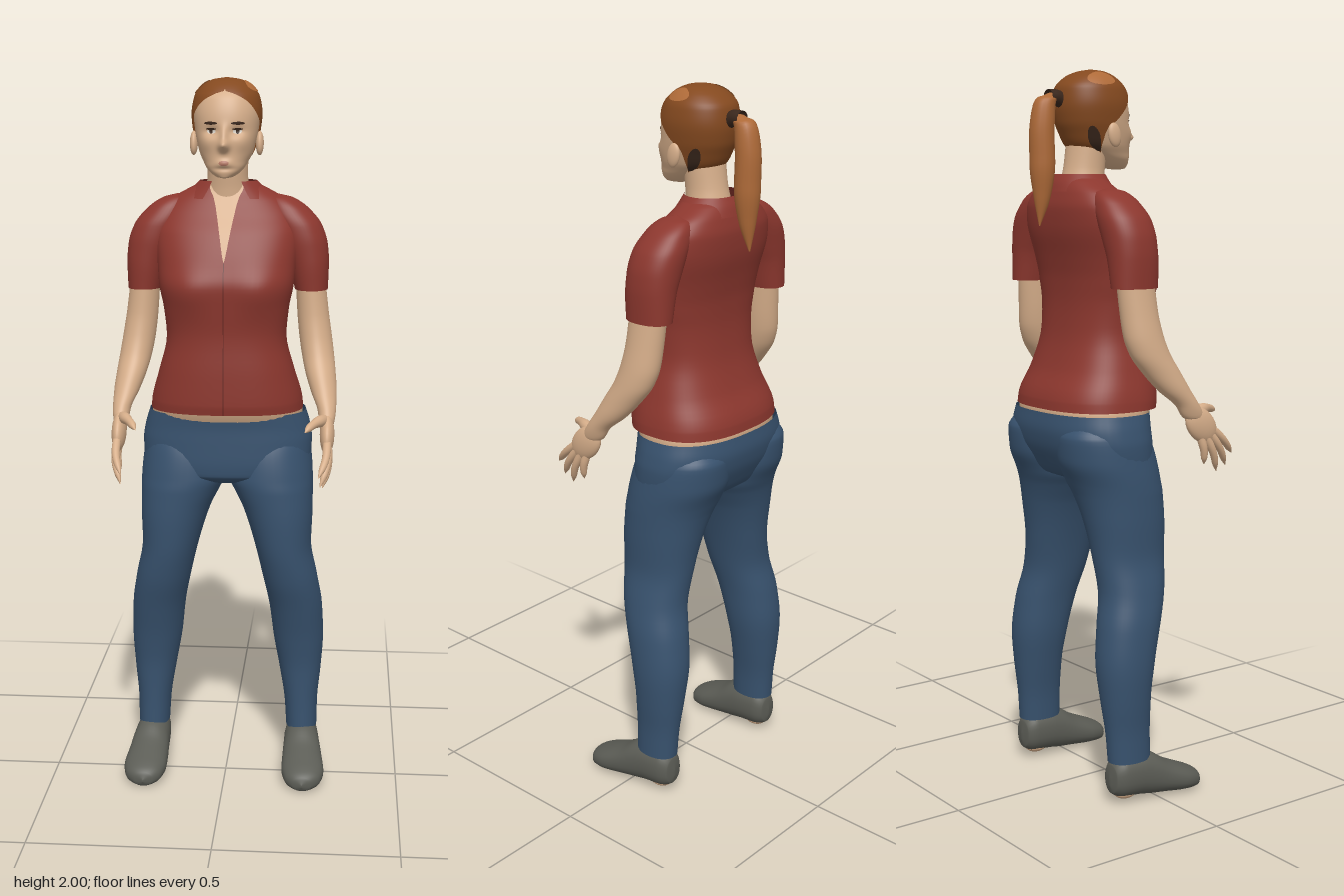
import * as THREE from 'three';
import { mergeVertices } from 'three/addons/utils/BufferGeometryUtils.js';

const mat = (name, color) => {
  const m = new THREE.MeshStandardMaterial({ color, side: THREE.DoubleSide });
  m.name = name;
  return m;
};
const M = {
  skin: mat('skin', 0xd6ae8a), shirt: mat('shirt red', 0x8c372e), seam: mat('seam red', 0x642620),
  denim: mat('denim blue', 0x38526e), shoe: mat('shoe grey', 0x5b5c55), hair: mat('hair brown', 0x84491f),
  light: mat('light hair', 0xae6a38), dark: mat('dark hair', 0x3a271c),
  lips: mat('lips', 0xb57a66), white: mat('eye white', 0xd8d2c8),
};
const TAU = Math.PI * 2;
const range = (n, a = 0, b = 1) => Array.from({ length: n + 1 }, (_, i) => a + (b - a) * i / n);

// Smooth monotone interpolation of rows [t, value, value, ...]
function curve(keys) {
  const d = (i, j) => (keys[i + 1][j] - keys[i][j]) / (keys[i + 1][0] - keys[i][0]);
  const slope = (i, j) => {
    if (i === 0) return d(0, j);
    if (i === keys.length - 1) return d(i - 1, j);
    const a = d(i - 1, j), b = d(i, j);
    return a * b <= 0 ? 0 : 2 * a * b / (a + b);
  };
  return t => {
    let i = 0;
    while (i < keys.length - 2 && t > keys[i + 1][0]) i++;
    const h = keys[i + 1][0] - keys[i][0];
    const s = Math.min(1, Math.max(0, (t - keys[i][0]) / h)), q = 1 - s;
    return keys[i].slice(1).map((p, n) => q * q * (1 + 2 * s) * p + s * s * (3 - 2 * s) * keys[i + 1][n + 1]
      + h * s * q * (q * slope(i, n + 1) - s * slope(i + 1, n + 1)));
  };
}
const levels = (keys, n = 5) => keys.slice(1).flatMap((k, i) => range(n, keys[i][0], k[0]).slice(i ? 1 : 0));

// Surface through the points f(u, v); side -1 mirrors it across x
function grid(name, material, f, us, vs, side = 1) {
  const pos = [], idx = [], n = us.length;
  for (const v of vs) for (const u of us) {
    const [x, y, z] = f(u, v);
    pos.push(x * side, y, z);
  }
  for (let j = 0; j < vs.length - 1; j++) for (let i = 0; i < n - 1; i++) {
    const a = j * n + i, b = a + 1, c = a + n, e = c + 1;
    idx.push(...(side > 0 ? [a, b, e, a, e, c] : [a, e, b, a, c, e]));
  }
  let g = new THREE.BufferGeometry();
  g.setAttribute('position', new THREE.Float32BufferAttribute(pos, 3));
  g.setIndex(idx);
  g = mergeVertices(g, 1e-5);
  g.computeVertexNormals();
  const mesh = new THREE.Mesh(g, material);
  mesh.name = name;
  return mesh;
}

// Rounded horizontal sections [y, xMin, xMax, zFront, zBack]; angle 0 faces +z
function ovals(keys, n = 2) {
  const c = curve(keys), p = v => Math.sign(v) * Math.abs(v) ** (2 / n);
  return (phi, y, off = 0) => {
    const [x0, x1, f, b] = c(y), k = 1 + off / 0.1;
    return [(x0 + x1) / 2 + (x1 - x0) / 2 * k * p(Math.sin(phi)), y, (f + b) / 2 + (f - b) / 2 * k * p(Math.cos(phi))];
  };
}
const sym = keys => keys.map(([y, w, f, b]) => [y, -w, w, f, b]);
const loft = (name, m, keys, n = 2, side = 1) => grid(name, m, ovals(keys, n), range(48, 0, TAU), levels(keys), side);

// Oval patch lying on a surface
const patch = (name, m, surf, phi, y, rp, ry, off) => grid(name, m,
  (a, r) => surf(phi + r * rp * Math.cos(a), y + r * ry * Math.sin(a), off), range(24, 0, TAU), range(4, 1, 0));

// Tapered round sweep along a path
function sweep(name, m, points, radii, side = 1, seg = 24) {
  const path = new THREE.CatmullRomCurve3(points.map(p => new THREE.Vector3(...p)));
  const fr = path.computeFrenetFrames(seg), r = curve(radii.map((v, i) => [i / (radii.length - 1), v]));
  return grid(name, m, (a, i) => path.getPoint(i / seg)
    .addScaledVector(fr.normals[i], r(i / seg)[0] * Math.cos(a))
    .addScaledVector(fr.binormals[i], r(i / seg)[0] * Math.sin(a)).toArray(), range(16, 0, TAU), range(seg, 0, seg), side);
}
function ball(name, m, p, s, rx = 0) {
  const b = new THREE.Mesh(new THREE.SphereGeometry(1, 24, 16), m);
  b.name = name;
  b.position.set(...p);
  b.scale.set(...s);
  b.rotation.x = rx;
  return b;
}
const bump = (x, y, cx, cy, sx, sy) => Math.exp(-(((x - cx) / sx) ** 2) - ((y - cy) / sy) ** 2);

function makeHead() {
  const g = new THREE.Group();
  g.name = 'head';
  const keys = sym([[1.734, 0, .05, .03], [1.738, .022, .064, .0], [1.76, .05, .069, -.05], [1.78, .062, .067, -.09],
    [1.8, .072, .066, -.115], [1.83, .08, .067, -.13], [1.86, .086, .062, -.142], [1.9, .09, .056, -.148],
    [1.94, .084, .042, -.143], [1.97, .064, .016, -.118], [1.987, .036, -.015, -.082], [1.993, 0, -.045, -.05]]);
  const base = ovals(keys, 2.15);
  // Skull with sculpted nose, eye sockets, lips and chin
  const face = (phi, y, off = 0) => {
    const [x, , z] = base(phi, y, off), ax = Math.abs(x);
    const d = Math.cos(phi) < 0 ? 0 : .028 * bump(x, y, 0, 1.821, .013, .014) + .014 * bump(x, y, 0, 1.847, .01, .022)
      - .010 * bump(ax, y, .034, 1.858, .02, .013) + .006 * bump(x, y, 0, 1.775, .022, .01)
      - .004 * bump(x, y, 0, 1.76, .03, .006) + .004 * bump(ax, y, .05, 1.825, .02, .02);
    return [x, y + off * Math.min(1, Math.max(0, (y - 1.85) / .1)), z + d];
  };
  g.add(grid('face', M.skin, face, range(112, 0, TAU), levels(keys, 8)));
  g.add(patch('mouth', M.lips, face, 0, 1.775, .2, .007, .002));
  for (const s of [1, -1]) {
    g.add(patch('eye', M.white, face, s * .39, 1.858, .15, .006, .002));
    g.add(patch('iris', M.dark, face, s * .39, 1.858, .06, .006, .003));
    g.add(patch('lashes', M.dark, face, s * .39, 1.864, .18, .0025, .003));
    g.add(patch('eyebrow', M.dark, face, s * .4, 1.879, .22, .004, .002));
    g.add(ball('ear', M.skin, [s * .09, 1.825, -.035], [.011, .033, .02], -.2));
  }
  // Swept-back hair with an open hairline around the face
  const line = curve([[1.765, 2.25], [1.8, 1.95], [1.84, 1.75], [1.86, 1.5], [1.9, 1.05], [1.93, .7], [1.95, .25], [1.958, 0], [2, 0]]);
  g.add(grid('hair', M.hair, (u, y) => {
    const p = line(y)[0];
    return face(p + (TAU - 2 * p) * u, y, .007);
  }, range(72), [...range(36, 1.765, 1.98), ...range(10, 1.9815, 1.993)]));
  g.add(patch('hair highlight', M.light, face, -1.75, 1.965, .5, .018, .009));
  g.add(patch('hair highlight', M.light, face, 1.35, 1.968, .45, .015, .009));
  for (const s of [1, -1]) g.add(patch('hair behind ear', M.dark, face, s * 2.15, 1.815, .18, .033, .009));
  g.add(sweep('hair tie', M.dark, [[0, 1.905, -.13], [0, 1.922, -.16], [0, 1.922, -.188]], [.02, .021, .022]));
  g.add(sweep('ponytail', M.light, [[0, 1.918, -.165], [0, 1.918, -.192], [0, 1.85, -.208], [0, 1.75, -.208],
    [0, 1.66, -.21], [0, 1.585, -.218]], [.012, .027, .034, .035, .023, .002], 1, 40));
  return g;
}

function makeTorso() {
  const g = new THREE.Group();
  g.name = 'torso';
  const keys = sym([[1.092, .215, .092, -.225], [1.12, .212, .096, -.222], [1.2, .19, .094, -.185], [1.3, .167, .088, -.158],
    [1.38, .174, .094, -.152], [1.44, .186, .098, -.155], [1.5, .192, .08, -.165], [1.58, .2, .043, -.182],
    [1.63, .19, .01, -.185], [1.67, .16, -.015, -.177], [1.7, .11, -.032, -.165], [1.715, .08, -.036, -.152]]);
  const base = ovals(keys, 2.5);
  const body = (phi, y, off) => {
    const [x, , z] = base(phi, y, off);
    return [x, y, z + (Math.cos(phi) > 0 ? .012 * bump(Math.abs(x), y, .1, 1.43, .06, .06) : 0)];
  };
  g.add(grid('shirt', M.shirt, body, range(72, 0, TAU), levels(keys)));
  // Open neckline and front seam laid over the shirt
  const vee = curve([[1.51, 0], [1.6, .045], [1.65, .09], [1.68, .16], [1.713, .45]]);
  g.add(grid('neckline', M.skin, (u, y) => body(u * vee(y)[0], y, .004), range(10, -1, 1), range(24, 1.51, 1.713)));
  g.add(grid('front seam', M.seam, (u, y) => body(u * .002, y, .002), [-1, 1], range(40, 1.093, 1.51)));
  // Collar standing around the neck
  const collar = ovals(sym([[1.675, .125, -.008, -.178], [1.7, .098, -.018, -.17], [1.722, .077, -.026, -.157]]), 2.1);
  g.add(grid('collar', M.shirt, (u, y) => collar(.5 + (TAU - 1) * u, y, .004), range(48), range(8, 1.675, 1.722)));
  g.add(loft('neck', M.skin, sym([[1.64, .075, -.02, -.15], [1.7, .06, -.018, -.138], [1.74, .056, -.014, -.128], [1.8, .058, -.01, -.118]])));
  g.add(loft('waist skin', M.skin, sym([[1.05, .213, .055, -.215], [1.085, .213, .07, -.219], [1.12, .203, .08, -.205]]), 2.4));
  g.add(loft('hips', M.denim, sym([[.87, 0, -.04, -.06], [.885, .11, .025, -.12], [.91, .215, .06, -.18], [.95, .238, .063, -.205],
    [1, .241, .062, -.225], [1.04, .235, .061, -.231], [1.083, .222, .064, -.226]]), 2.4));
  return g;
}

function makeArm(s) {
  const g = new THREE.Group();
  g.name = s > 0 ? 'leftArm' : 'rightArm';
  g.add(loft('sleeve', M.shirt, [[1.425, .188, .28, -.01, -.145], [1.5, .17, .282, -.006, -.148], [1.55, .15, .278, -.006, -.152],
    [1.6, .13, .262, -.01, -.155], [1.645, .11, .226, -.025, -.15], [1.675, .11, .182, -.048, -.135], [1.686, .14, .141, -.085, -.09]], 2.2, s));
  g.add(loft('arm', M.skin, [[1.06, .284, .286, .1, .09], [1.075, .265, .304, .118, .052], [1.11, .258, .309, .1, .028], [1.15, .24, .31, .075, -.02],
    [1.2, .222, .306, .047, -.065], [1.25, .21, .3, .018, -.1], [1.3, .202, .293, 0, -.116], [1.36, .196, .284, -.012, -.122], [1.46, .19, .272, -.02, -.13]], 2, s));
  // Hand with spread fingers
  g.add(ball('palm', M.skin, [s * .286, 1.05, .112], [.02, .042, .062], .75));
  const fingers = [[[.287, 1.045, .14], [.284, 1.0, .195], [.266, .958, .24]], [[.289, 1.035, .132], [.288, .98, .178], [.27, .927, .214]],
    [[.289, 1.025, .122], [.29, .97, .153], [.276, .915, .176]], [[.288, 1.02, .108], [.29, .98, .12], [.282, .94, .127]]];
  for (const f of fingers) g.add(sweep('finger', M.skin, f, [.011, .0115, .0105, .009, .001], s));
  g.add(sweep('thumb', M.skin, [[.282, 1.085, .09], [.262, 1.09, .14], [.242, 1.085, .18], [.228, 1.075, .21]], [.016, .016, .012, .01, .001], s));
  return g;
}

function makeLeg(s) {
  const g = new THREE.Group();
  g.name = s > 0 ? 'leftLeg' : 'rightLeg';
  g.add(loft('trouser leg', M.denim, [[.125, .175, .265, -.017, -.145], [.2, .17, .266, -.018, -.15], [.3, .154, .275, -.016, -.162],
    [.4, .136, .281, -.002, -.17], [.5, .124, .277, .022, -.16], [.6, .104, .261, .05, -.142], [.7, .08, .243, .065, -.15],
    [.8, .048, .246, .07, -.166], [.86, .018, .246, .07, -.18], [.9, -.002, .245, .066, -.195], [.96, -.005, .24, .055, -.22],
    [1.02, .01, .23, .03, -.225], [1.06, .05, .2, -.02, -.2]], 2.15, s));
  // Slip-on shoe, built heel to toe
  const keys = [[-.147, 0, .06, .08, .219], [-.14, .03, .036, .12, .219], [-.11, .045, .022, .144, .22], [-.06, .05, .018, .146, .221],
    [-.02, .053, .012, .136, .223], [.03, .058, .008, .105, .226], [.08, .061, .004, .082, .229], [.12, .052, .003, .064, .23],
    [.143, .03, .007, .048, .229], [.152, 0, .022, .028, .228]];
  const c = curve(keys);
  g.add(grid('shoe', M.shoe, (a, z) => {
    const [w, y0, y1, cx] = c(z), n = Math.sin(a);
    return [cx + w * Math.cos(a), (y0 + y1) / 2 + (y1 - y0) / 2 * Math.sign(n) * Math.abs(n) ** .85, z];
  }, range(32, 0, TAU), levels(keys), s));
  g.add(ball('heel', M.skin, [s * .22, .032, -.095], [.027, .018, .034]));
  return g;
}

export function createModel() {
  const model = new THREE.Group();
  model.name = 'standingWoman';
  model.add(makeHead(), makeTorso());
  for (const s of [1, -1]) model.add(makeArm(s), makeLeg(s));
  return model;
}
